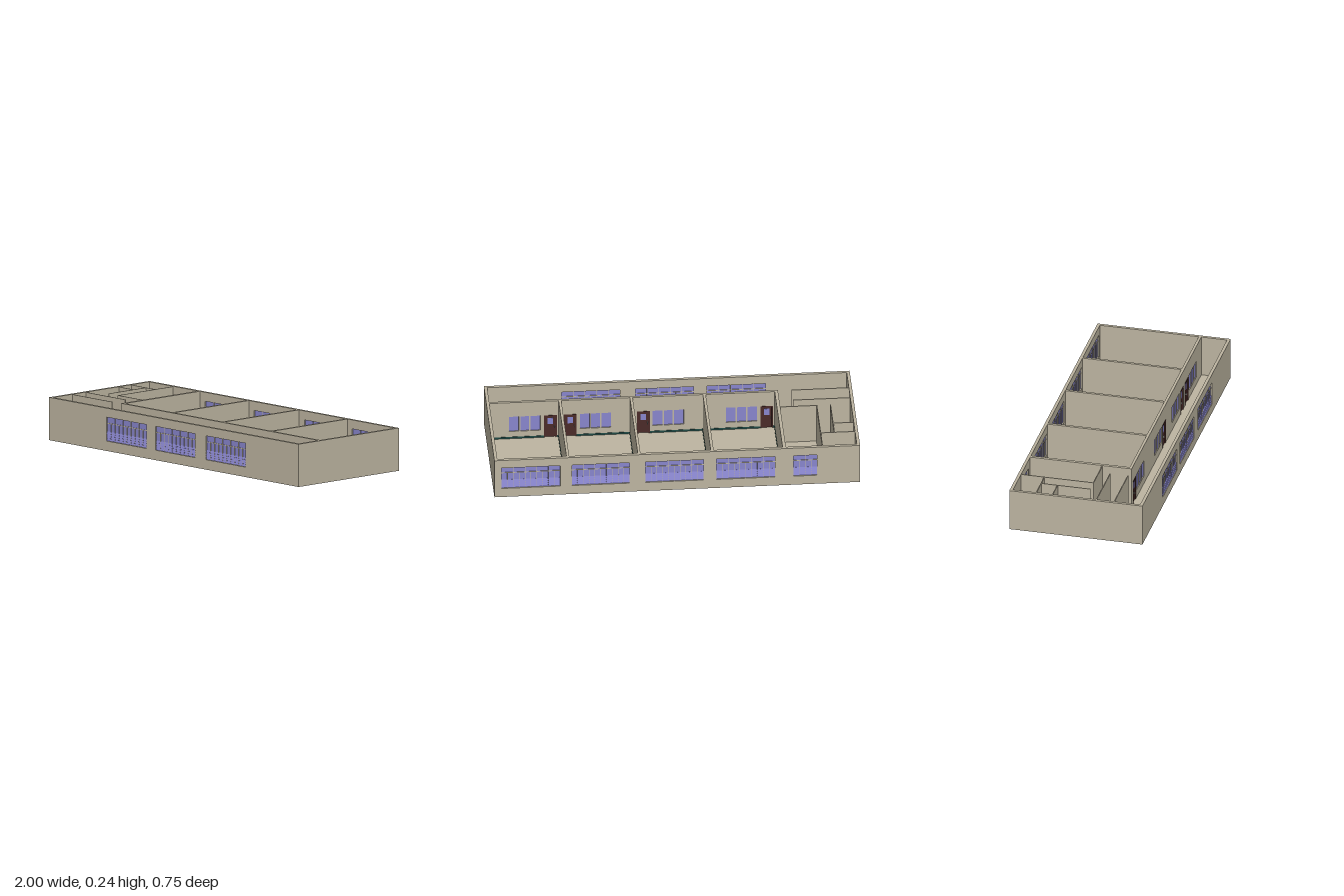
import * as THREE from 'three';

const H = 0.237, FLOOR = 0.004;
const X0 = -1, X1 = 1, Z0 = -0.374, Z1 = 0.374, T = 0.017;
const SILL = 0.055, HEAD = 0.187, TRANSOM = 0.153;

function makeMaterial(name, color) {
  const m = new THREE.MeshStandardMaterial({ color });
  m.name = name;
  return m;
}

export function createModel() {
  const wallMat = makeMaterial('beige plaster', 0xbdb5a1);
  const glassMat = makeMaterial('blue glass', 0x8885cc);
  const doorMat = makeMaterial('dark brown wood', 0x4a2a28);
  const skirtMat = makeMaterial('dark teal skirting', 0x1f4a45);
  const metalMat = makeMaterial('grey metal', 0x8a8a86);

  const model = new THREE.Group();
  model.name = 'schoolBuilding';

  // Box given by its minimum and maximum corners
  function box(name, mat, x0, x1, y0, y1, z0, z1, parent = model) {
    const mesh = new THREE.Mesh(new THREE.BoxGeometry(x1 - x0, y1 - y0, z1 - z0), mat);
    mesh.name = name;
    mesh.position.set((x0 + x1) / 2, (y0 + y1) / 2, (z0 + z1) / 2);
    parent.add(mesh);
    return mesh;
  }

  // Wall along x with rectangular openings [x0, x1, y0, y1]
  function piercedWall(name, x0, x1, z0, z1, openings) {
    const rect = (p, a, b, c, d) => {
      p.moveTo(a, c); p.lineTo(b, c); p.lineTo(b, d); p.lineTo(a, d); p.closePath();
      return p;
    };
    const shape = rect(new THREE.Shape(), x0, x1, 0, H);
    for (const o of openings) shape.holes.push(rect(new THREE.Path(), ...o));
    const geo = new THREE.ExtrudeGeometry(shape, { depth: z1 - z0, bevelEnabled: false });
    const mesh = new THREE.Mesh(geo, wallMat);
    mesh.name = name;
    mesh.position.z = z0;
    model.add(mesh);
  }

  // Outside window: panes, mullions, transom and glass louvres; out is the outward z sign
  function louvreWindow(name, x0, x1, z, out) {
    const g = new THREE.Group();
    g.name = name;
    model.add(g);
    const cols = Math.round((x1 - x0) / 0.032), step = (x1 - x0) / cols;
    box('pane', glassMat, x0, x1, SILL, HEAD, z - 0.001, z + 0.001, g);
    box('transom', wallMat, x0, x1, TRANSOM - 0.002, TRANSOM + 0.002, z - 0.004, z + 0.004, g);
    for (let i = 1; i < cols; i++) {
      const x = x0 + i * step;
      const top = i % 2 ? TRANSOM : HEAD;
      box('mullion', wallMat, x - 0.0013, x + 0.0013, SILL, top, z - 0.004, z + 0.004, g);
    }
    for (let i = 0; i < 4; i++) {
      const y = SILL + 0.008 + i * 0.013;
      const slat = box('louvre', glassMat, x0, x1, y - 0.006, y + 0.006, z - 0.0008, z + 0.0008, g);
      slat.position.z = z + out * 0.003;
      slat.rotation.x = -out * 0.35;
    }
  }

  // Door leaf with frame, glazed panel and handle
  function door(x0, x1, z) {
    const g = new THREE.Group();
    g.name = 'door';
    model.add(g);
    const top = 0.145, f = 0.007;
    box('doorLeaf', doorMat, x0 + f, x1 - f, FLOOR, top - f, z - 0.003, z + 0.003, g);
    box('doorJamb', doorMat, x0, x0 + f, FLOOR, top, z - 0.009, z + 0.009, g);
    box('doorJamb', doorMat, x1 - f, x1, FLOOR, top, z - 0.009, z + 0.009, g);
    box('doorHead', doorMat, x0 + f, x1 - f, top - f, top, z - 0.009, z + 0.009, g);
    box('doorPanel', glassMat, x0 + 0.02, x1 - 0.02, 0.085, 0.125, z - 0.004, z + 0.004, g);
    box('doorHandle', metalMat, x0 + 0.011, x0 + 0.015, 0.062, 0.074, z - 0.012, z + 0.015, g);
  }

  // Floor slab
  box('floor', wallMat, X0 + T, X1 - T, 0, FLOOR, Z0 + T, Z1 - T);

  // Outer walls and windows
  const frontWindows = [[-0.54, -0.22], [-0.145, 0.172], [0.257, 0.577]];
  const backWindows = [[0.64, 0.96], [0.26, 0.577], [-0.143, 0.175], [-0.535, -0.215], [-0.765, -0.635]];
  const hole = ([a, b]) => [a, b, SILL, HEAD];
  piercedWall('frontWall', X0, X1, Z1 - T, Z1, frontWindows.map(hole));
  piercedWall('backWall', X0, X1, Z0, Z0 + T, backWindows.map(hole));
  for (const [a, b] of frontWindows) louvreWindow('frontWindow', a, b, Z1 - T / 2, 1);
  for (const [a, b] of backWindows) louvreWindow('backWindow', a, b, Z0 + T / 2, -1);
  box('leftWall', wallMat, X1 - T, X1, 0, H, Z0 + T, Z1 - T);
  box('rightWall', wallMat, X0, X0 + T, 0, H, Z0 + T, Z1 - T);

  // Corridor wall with a door and a window for each classroom
  const CZ0 = 0.198, CZ1 = 0.213, cz = (CZ0 + CZ1) / 2;
  const doors = [[-0.568, -0.498], [0.106, 0.176], [0.506, 0.576], [0.615, 0.685]];
  const inner = [[-0.48, -0.31], [-0.08, 0.09], [0.317, 0.487], [0.705, 0.875]];
  piercedWall('corridorWall', -0.595, X1 - T, CZ0, CZ1, [
    ...doors.map(([a, b]) => [a, b, FLOOR, 0.145]),
    ...inner.map(([a, b]) => [a, b, 0.05, 0.145]),
  ]);
  for (const [a, b] of doors) door(a, b, cz);
  for (const [a, b] of inner) {
    box('corridorWindow', glassMat, a, b, 0.05, 0.145, cz - 0.002, cz + 0.002);
    for (let i = 1; i < 3; i++) {
      const x = a + (b - a) * i / 3;
      box('corridorMullion', wallMat, x - 0.004, x + 0.004, 0.05, 0.145, cz - 0.006, cz + 0.006);
    }
  }

  // Classroom partitions
  const parts = [[-0.595, -0.577], [-0.2, -0.184], [0.2, 0.215], [0.59, 0.605]];
  for (const [a, b] of parts) box('partition', wallMat, a, b, 0, H, Z0 + T, CZ0);

  // Skirting round the four classrooms
  parts.forEach(([, a], i) => {
    const b = i < 3 ? parts[i + 1][0] : X1 - T;
    const z0 = Z0 + T, s = 0.002, top = 0.015;
    box('skirting', skirtMat, a, b, FLOOR, top, z0, z0 + s);
    box('skirting', skirtMat, a, a + s, FLOOR, top, z0 + s, CZ0);
    box('skirting', skirtMat, b - s, b, FLOOR, top, z0 + s, CZ0);
    // Front run broken at the door
    const [d0, d1] = doors[i];
    box('skirting', skirtMat, a + s, d0, FLOOR, top, CZ0 - s, CZ0);
    box('skirting', skirtMat, d1, b - s, FLOOR, top, CZ0 - s, CZ0);
  });

  // Thin washroom walls: [x0, x1, z0, z1]
  const t = 0.005, W = X0 + T, B = Z0 + T;
  const thin = [
    [-0.798, -0.798 + t, B, 0.05],
    [-0.873, -0.873 + t, -0.225, 0.05],
    [W, -0.798, -0.23, -0.225],
    [W, -0.873, -0.138, -0.133],
    [-0.793, -0.595, 0.045, 0.05],
    [W, -0.67, 0.108, 0.113],
    [W, -0.67, 0.208, 0.213],
  ];
  for (const [a, b, c, d] of thin) box('washroomWall', wallMat, a, b, 0, H - 0.002, c, d);

  return model;
}
